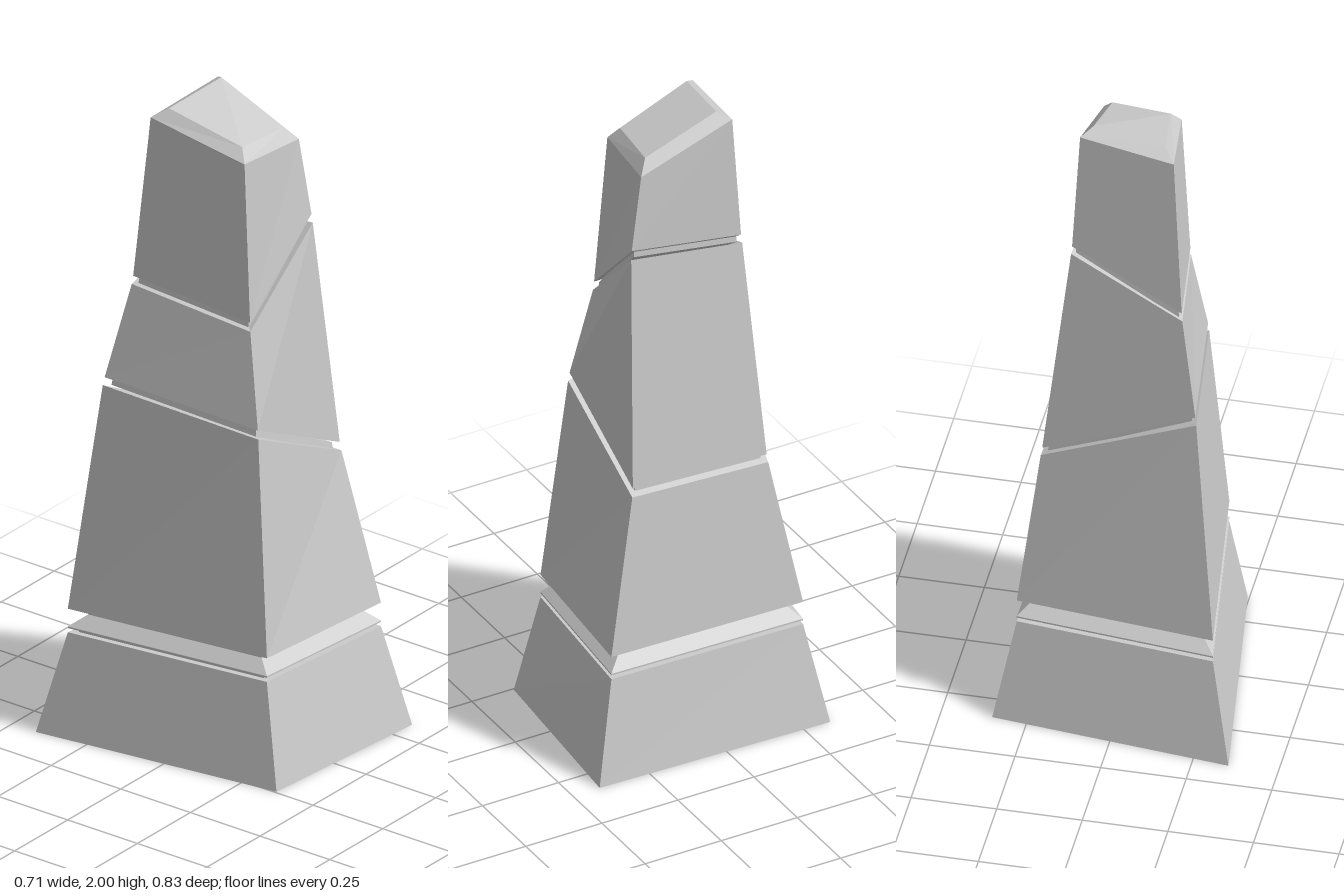
import * as THREE from 'three';

// Each ring is four [x, y, z] corners: front right, front left, back left, back right.
const ring = (plan, heights) => plan.map(([x, z], i) => [x, heights[i], z]);
const level = (plan, y) => ring(plan, [y, y, y, y]);
const inset = (r, s) => r.map(([x, y, z]) => [x * s, y, z * s]);

// Skins a stack of rings with flat facets and closes both ends.
function block(name, rings) {
  const pos = [];
  const tri = (...corners) => corners.forEach((c) => pos.push(...c));
  for (let k = 0; k < rings.length - 1; k++) {
    const a = rings[k], b = rings[k + 1];
    for (let i = 0; i < 4; i++) {
      const j = (i + 1) % 4;
      tri(a[i], a[j], b[j]);
      tri(a[i], b[j], b[i]);
    }
  }
  const lo = rings[0], hi = rings[rings.length - 1];
  tri(lo[0], lo[2], lo[1]);
  tri(lo[0], lo[3], lo[2]);
  tri(hi[0], hi[1], hi[2]);
  tri(hi[0], hi[2], hi[3]);
  const geo = new THREE.BufferGeometry();
  geo.setAttribute('position', new THREE.Float32BufferAttribute(pos, 3));
  geo.computeVertexNormals();
  const mesh = new THREE.Mesh(geo, new THREE.MeshStandardMaterial({ color: 0xcccccc, flatShading: true }));
  mesh.name = name;
  return mesh;
}

export function createModel() {
  const group = new THREE.Group();
  group.name = 'stoneObelisk';

  // Irregular four-sided plans, from the ground to the tip
  const basePlan = [[-0.245, 0.365], [0.333, 0.412], [0.352, -0.335], [-0.355, -0.415]];
  const collarPlan = [[-0.205, 0.3], [0.278, 0.342], [0.292, -0.28], [-0.295, -0.346]];
  const lowPlan = [[-0.16, 0.235], [0.223, 0.242], [0.24, -0.195], [-0.23, -0.27]];
  const highPlan = [[-0.12, 0.176], [0.143, 0.2], [0.16, -0.155], [-0.176, -0.207]];
  const shoulderPlan = [[-0.1, 0.14], [0.13, 0.16], [0.138, -0.135], [-0.142, -0.165]];
  const tipPlan = [[-0.075, 0.113], [0.1, 0.13], [0.106, -0.1], [-0.108, -0.125]];

  // Slanted cuts: the rim below and the rim above each gap
  const lowCut = ring(lowPlan, [1.05, 0.867, 0.86, 1.1]);
  const lowCutTop = inset(ring(lowPlan, [1.077, 0.894, 0.885, 1.125]), 0.985);
  const highCut = ring(highPlan, [1.36, 1.612, 1.57, 1.42]);
  const highCutTop = inset(ring(highPlan, [1.388, 1.64, 1.596, 1.446]), 0.985);
  const plinthTop = level(collarPlan, 0.315);
  const collarBottom = level(collarPlan, 0.328);

  // Stone blocks
  group.add(block('plinth', [level(basePlan, 0), plinthTop]));
  group.add(block('collar', [
    collarBottom, level(collarPlan, 0.333),
    inset(level(collarPlan, 0.37), 0.87), inset(level(collarPlan, 0.375), 0.87),
  ]));
  group.add(block('lowerShaft', [
    inset(level(collarPlan, 0.375), 0.87), level(collarPlan, 0.39), lowCut,
  ]));
  group.add(block('middleShaft', [lowCutTop, highCut]));
  group.add(block('upperShaft', [
    highCutTop,
    ring(shoulderPlan, [1.875, 1.872, 1.98, 1.95]),
    ring(tipPlan, [1.912, 1.912, 2, 1.978]),
  ]));

  // Recessed cores filling the gaps between blocks
  const gaps = [[plinthTop, collarBottom], [lowCut, lowCutTop], [highCut, highCutTop]];
  gaps.forEach(([below, above], i) => {
    group.add(block('grooveCore' + (i + 1), [inset(below, 0.93), inset(above, 0.93)]));
  });

  return group;
}
